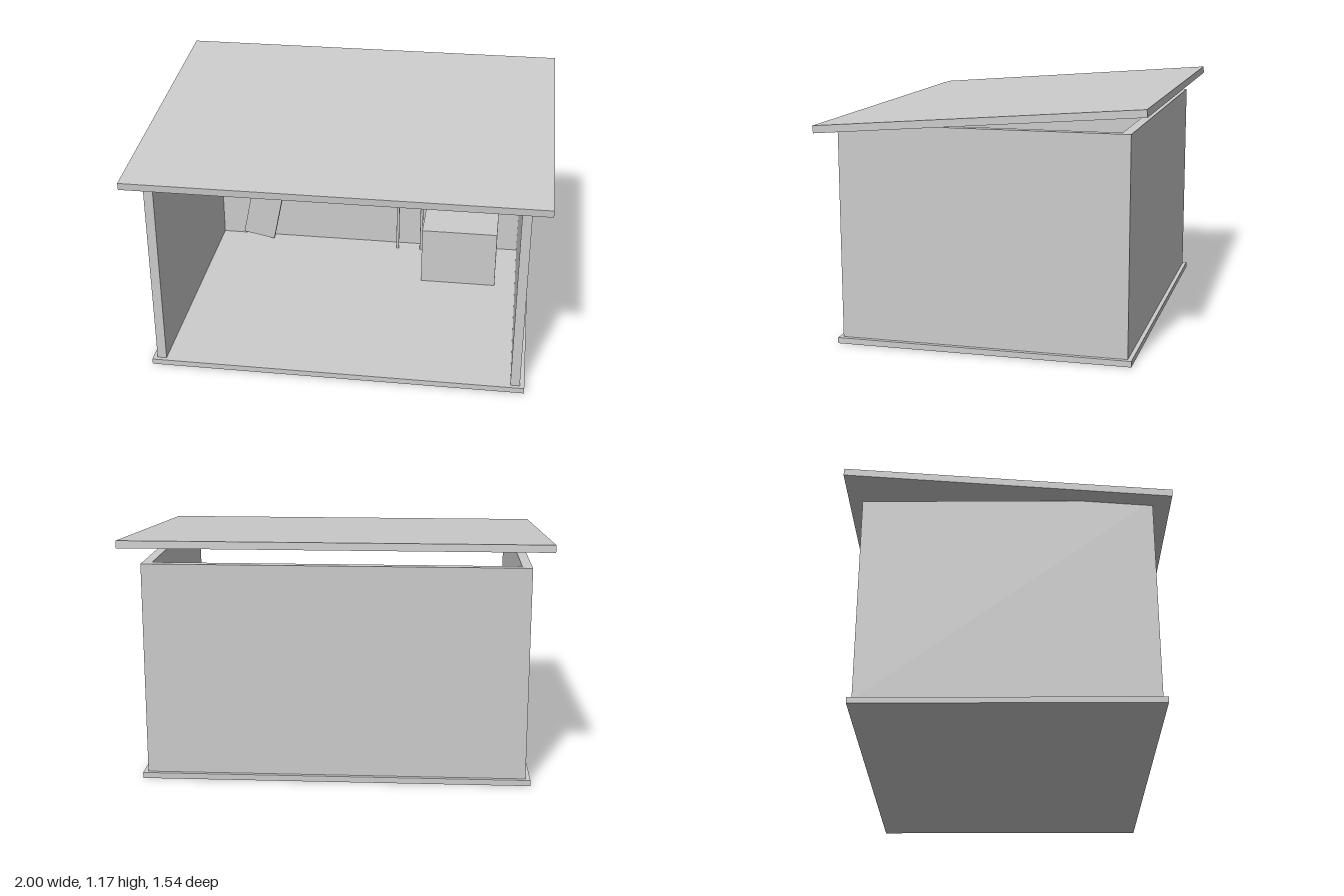
import * as THREE from 'three';

export function createModel() {
  const shed = new THREE.Group();
  shed.name = 'shed';
  const grey = new THREE.MeshStandardMaterial({ color: 0xcccccc });
  grey.name = 'light grey';

  const add = (name, geometry, x, y, z, parent = shed) => {
    const mesh = new THREE.Mesh(geometry, grey);
    mesh.name = name;
    mesh.position.set(x, y, z);
    parent.add(mesh);
    return mesh;
  };
  const box = (w, h, d) => new THREE.BoxGeometry(w, h, d);

  // Shell: floor slab, two side walls and a back wall, open at the front
  const floorTop = 0.028, wallTop = 1.05, thick = 0.046;
  const wallHeight = wallTop - floorTop, wallY = (wallTop + floorTop) / 2;
  add('floor', box(1.86, floorTop, 1.41), 0, floorTop / 2, 0);
  for (const side of [-1, 1]) {
    add(side > 0 ? 'leftWall' : 'rightWall', box(thick, wallHeight, 1.37), side * 0.885, wallY, 0);
  }
  add('backWall', box(1.724, wallHeight, thick), 0, wallY, -0.685 + thick / 2);

  // Roof sheet sloping down to the front
  const roof = add('roof', box(2, 0.035, 1.542), 0, 1.094, 0);
  roof.rotation.x = 0.08;

  // Plank leaning sideways near the back wall
  const plank = add('leaningPlank', box(0.18, 0.905, 0.03), -0.547, 0.505, -0.575);
  plank.rotation.z = -0.2;

  // Storage chest in the back corner
  add('chest', box(0.406, 0.317, 0.3), 0.547, floorTop + 0.1585, -0.38);

  // Row of upright tool handles
  const tools = new THREE.Group();
  tools.name = 'toolHandles';
  shed.add(tools);
  const handle = new THREE.CylinderGeometry(0.008, 0.008, 0.587, 12);
  for (let i = 0; i < 3; i++) {
    add('toolHandle', handle, 0.178 + i * 0.136, floorTop + 0.2935, -0.575, tools);
  }
  return shed;
}
